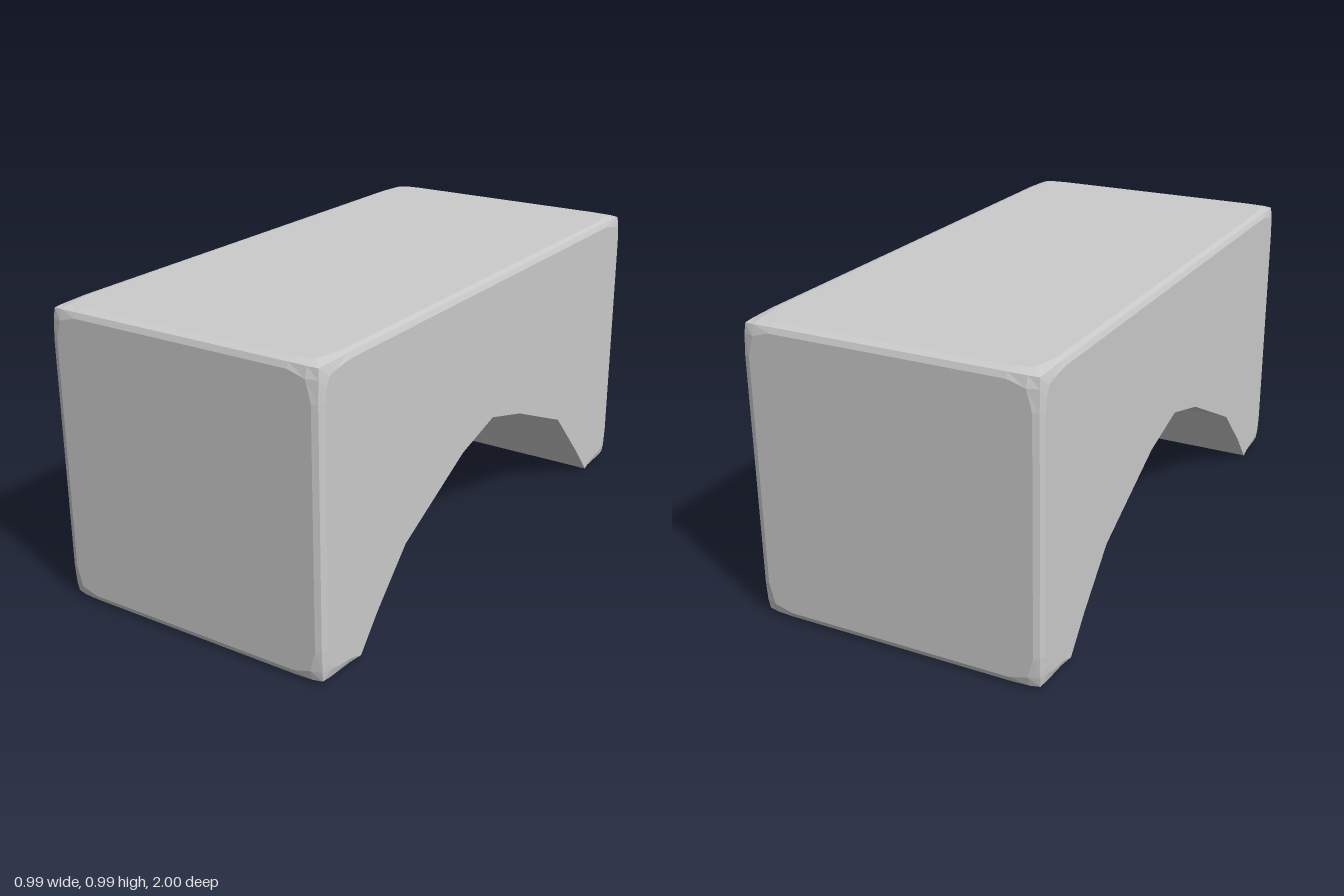
import * as THREE from 'three';

const HEIGHT = 0.987;

// Arch outline as [z, y] from back to front, on the left (+x) and right (-x) sides
const archRight = [[-0.8, 0.005], [-0.71, 0.11], [-0.55, 0.27], [-0.2, 0.445], [0, 0.5],
  [0.2, 0.445], [0.55, 0.27], [0.71, 0.11], [0.8, 0.005]];
const archLeft = archRight.map((p) => [...p]);
archLeft[1] = [-0.7, 0.12];
archLeft[2] = [-0.52, 0.31];

// Worn corner at four depths: archX, then [x, inset from end, inset from top or bottom]
const layers = [
  { x: 0.39, corner: [[0.39, 0, 0.11], [0.39, 0, 0.025], [0.39, 0.008, 0.007], [0.39, 0.035, 0], [0.39, 0.15, 0]] },
  { x: 0.46, corner: [[0.468, 0, 0.11], [0.45, 0, 0.042], [0.45, 0.010, 0.008], [0.45, 0.055, 0], [0.468, 0.15, 0]] },
  { x: 0.487, corner: [[0.487, 0.007, 0.11], [0.486, 0.011, 0.042], [0.483, 0.016, 0.010], [0.486, 0.055, 0.008], [0.487, 0.15, 0.005]] },
  { x: 0.494, corner: [[0.494, 0.03, 0.11], [0.494, 0.038, 0.07], [0.494, 0.05, 0.042], [0.494, 0.08, 0.032], [0.494, 0.15, 0.022]] },
];

// One closed cross-section, running arch, front end, top, back end
function ring(layer, side) {
  const t = (side * layer.x / 0.494 + 1) / 2;
  const pts = archRight.map(([z, y], i) => new THREE.Vector3(
    side * layer.x,
    THREE.MathUtils.lerp(y, archLeft[i][1], t),
    THREE.MathUtils.lerp(z, archLeft[i][0], t)));
  const addCorner = (end, top, reverse) => {
    const c = layer.corner.map(([x, dz, dy]) =>
      new THREE.Vector3(side * x, top ? HEIGHT - dy : dy, end * (1 - dz)));
    pts.push(...(reverse ? c.reverse() : c));
  };
  addCorner(1, false, true);
  addCorner(1, true, false);
  addCorner(-1, true, true);
  addCorner(-1, false, false);
  return pts;
}

function archBlockGeometry() {
  const rings = [
    ...[...layers].reverse().map((l) => ring(l, -1)),
    ...layers.map((l) => ring(l, 1)),
  ];
  const n = rings[0].length;
  const index = [];
  // Skin between neighbouring cross-sections
  for (let i = 0; i < rings.length - 1; i++) {
    for (let j = 0; j < n; j++) {
      const k = (j + 1) % n;
      const a = i * n + j, b = i * n + k;
      index.push(a, a + n, b, b, a + n, b + n);
    }
  }
  // Flat side faces
  const cap = (r, flip) => {
    const outline = rings[r].map((p) => new THREE.Vector2(p.z, p.y));
    for (const [a, b, c] of THREE.ShapeUtils.triangulateShape(outline, [])) {
      const o = r * n;
      index.push(o + a, o + (flip ? c : b), o + (flip ? b : c));
    }
  };
  cap(0, false);
  cap(rings.length - 1, true);

  const geometry = new THREE.BufferGeometry().setFromPoints(rings.flat());
  geometry.setIndex(index);
  const flat = geometry.toNonIndexed();
  flat.computeVertexNormals();
  return flat;
}

export function createModel() {
  const group = new THREE.Group();
  group.name = 'archBlock';
  const block = new THREE.Mesh(
    archBlockGeometry(),
    new THREE.MeshStandardMaterial({ color: 0xcccccc, flatShading: true }));
  block.name = 'archedStoneBlock';
  group.add(block);
  return group;
}
